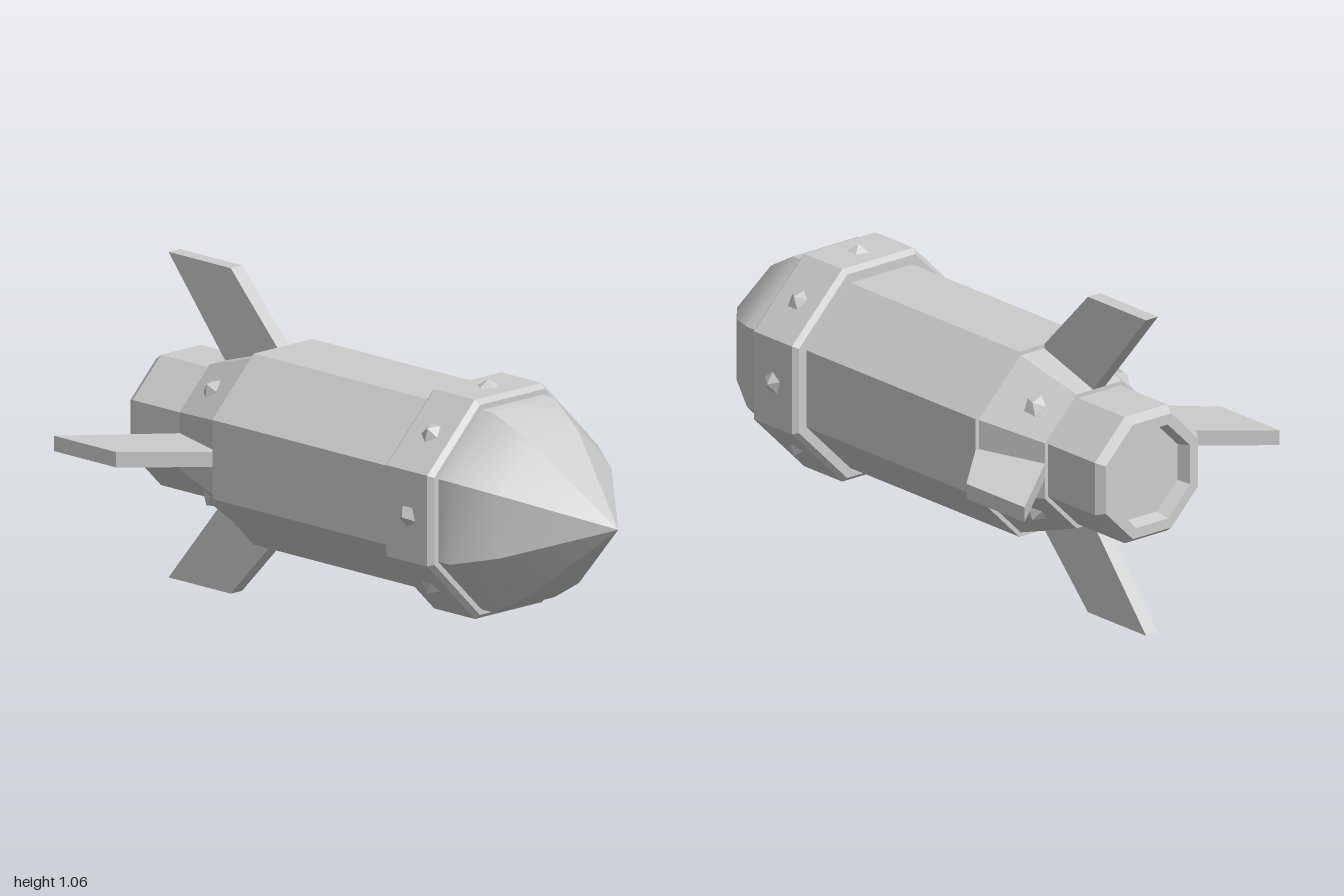
import * as THREE from 'three';
import { toCreasedNormals } from 'three/addons/utils/BufferGeometryUtils.js';

const AXIS_Y = 0.53;

// Octagonal solid along x; profile pairs are [x, distance from axis to flat side]
function octagon(profile) {
  const k = 1 / Math.cos(Math.PI / 8);
  const points = profile.map(([x, a]) => new THREE.Vector2(a * k, x));
  const geo = new THREE.LatheGeometry(points, 8, Math.PI / 8);
  geo.rotateZ(-Math.PI / 2);
  return toCreasedNormals(geo, Math.PI / 6);
}

export function createModel() {
  const model = new THREE.Group();
  model.name = 'rocket';
  const grey = new THREE.MeshStandardMaterial({ color: 0xcccccc });
  grey.name = 'light grey';

  const rocket = new THREE.Group();
  rocket.name = 'hull';
  rocket.position.y = AXIS_Y;
  model.add(rocket);

  function add(name, geo, parent = rocket) {
    const mesh = new THREE.Mesh(geo, grey);
    mesh.name = name;
    parent.add(mesh);
    return mesh;
  }

  // Hull sections from tail to tip
  add('nozzle', octagon([
    [-0.955, 0], [-0.955, 0.145], [-1, 0.158], [-1, 0.192],
    [-0.97, 0.212], [-0.73, 0.212],
  ]));
  add('tailCone', octagon([[-0.745, 0], [-0.745, 0.225], [-0.505, 0.299]]));
  add('body', octagon([[-0.51, 0], [-0.51, 0.311], [0.32, 0.311]]));
  add('collar', octagon([
    [0.305, 0.29], [0.305, 0.342], [0.322, 0.357],
    [0.505, 0.357], [0.522, 0.342], [0.522, 0.29],
  ]));
  add('noseCone', octagon([[0.5, 0.325], [0.575, 0.325], [0.718, 0.246], [1, 0]]));

  // Swept fins, one per quarter turn
  const finShape = new THREE.Shape([
    [-1, 0.53], [-0.745, 0.225], [-0.745, 0.19], [-0.505, 0.25],
    [-0.505, 0.306], [-0.72, 0.53],
  ].map(([x, y]) => new THREE.Vector2(x, y)));
  const finGeo = new THREE.ExtrudeGeometry(finShape, { depth: 0.05, bevelEnabled: false });
  finGeo.translate(0, 0, -0.025);
  for (let i = 0; i < 4; i++) add('fin', finGeo).rotation.x = i * Math.PI / 2;

  // Faceted rivets with one corner pointing outward
  const rivetGeo = new THREE.IcosahedronGeometry(0.043, 0);
  rivetGeo.rotateX(-Math.atan((1 + Math.sqrt(5)) / 2));
  function rivet(name, x, radius, angle, tilt) {
    const arm = new THREE.Group();
    arm.name = name;
    arm.rotation.x = angle;
    rocket.add(arm);
    const mesh = add(name + 'Head', rivetGeo, arm);
    mesh.position.set(x, radius, 0);
    mesh.rotation.z = tilt;
  }
  for (let i = 0; i < 8; i++) rivet('collarRivet', 0.415, 0.337, i * Math.PI / 4, 0);
  for (let i = 0; i < 4; i++) rivet('tailRivet', -0.64, 0.238, (i + 0.5) * Math.PI / 2, 0.3);

  return model;
}
